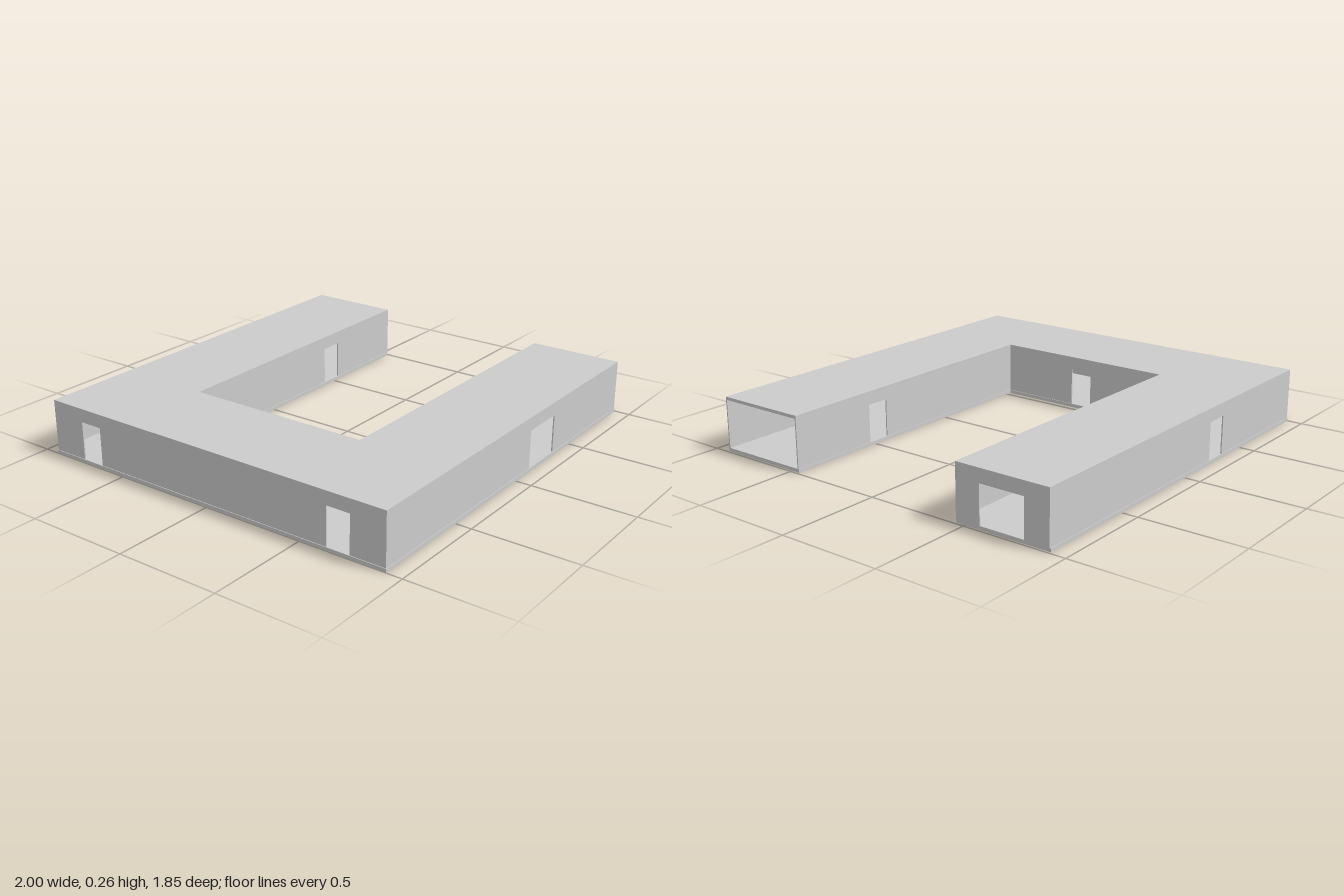
import * as THREE from 'three';

const FLOOR = 0.017, CEILING = 0.25, ROOF = 0.265, T = 0.006, DOOR = 0.2;
const material = new THREE.MeshStandardMaterial({ color: 0xcccccc, flatShading: true });

// U-shaped slab, open towards +x; grow widens it past the wall faces
function slab(name, y0, y1, grow) {
  const out = 0.922 + grow, inn = 0.459 - grow, west = -0.997 - grow, court = -0.531 + grow, east = 0.99;
  const shape = new THREE.Shape([
    [west, -out], [east, -out], [east, -inn], [court, -inn],
    [court, inn], [east, inn], [east, out], [west, out],
  ].map(([x, z]) => new THREE.Vector2(x, z)));
  const geo = new THREE.ExtrudeGeometry(shape, { depth: y1 - y0, bevelEnabled: false });
  geo.rotateX(-Math.PI / 2);
  const mesh = new THREE.Mesh(geo, material);
  mesh.name = name;
  mesh.position.y = y0;
  return mesh;
}

// Thin wall running from a to b along 'x' or 'z', centred on 'at', with door gaps cut up from the floor
function wall(name, axis, at, a, b, doors = [], top = CEILING) {
  const shape = new THREE.Shape();
  shape.moveTo(a, FLOOR);
  for (const [d0, d1] of doors) {
    shape.lineTo(d0, FLOOR);
    shape.lineTo(d0, DOOR);
    shape.lineTo(d1, DOOR);
    shape.lineTo(d1, FLOOR);
  }
  shape.lineTo(b, FLOOR);
  shape.lineTo(b, top);
  shape.lineTo(a, top);
  shape.closePath();
  const geo = new THREE.ExtrudeGeometry(shape, { depth: T, bevelEnabled: false });
  geo.translate(0, 0, -T / 2);
  const mesh = new THREE.Mesh(geo, material);
  mesh.name = name;
  if (axis === 'x') mesh.position.z = at;
  else {
    mesh.rotation.y = -Math.PI / 2;
    mesh.position.x = at;
  }
  return mesh;
}

export function createModel() {
  const group = new THREE.Group();
  group.name = 'courtyardBuilding';
  const h = T / 2;

  group.add(slab('floorSlab', 0, FLOOR, 0.003), slab('roofSlab', CEILING, ROOF, 0));

  // Outer walls
  group.add(
    wall('frontWall', 'x', 0.922 - h, -0.997, 0.99, [[0.12, 0.34]]),
    wall('backWall', 'x', -0.922 + h, -0.997, 0.99, [[-0.33, -0.215]]),
    wall('sideWall', 'z', -0.997 + h, -0.922 + T, 0.922 - T, [[-0.745, -0.63], [0.635, 0.75]]),
  );

  // Courtyard walls
  for (const s of [-1, 1]) {
    group.add(wall(s > 0 ? 'frontCourtyardWall' : 'backCourtyardWall', 'x', s * (0.459 + h),
      -0.531 - T, 0.99, [[0.42, 0.535]]));
  }
  group.add(wall('sideCourtyardWall', 'z', -0.531 - h, -0.459, 0.459, [[-0.055, 0.06]]));

  // Closed end of the back wing; the front wing stays open
  group.add(wall('backWingEndWall', 'z', 0.99 + h, -0.922, -0.459, [[-0.8, -0.58]], ROOF));
  return group;
}
